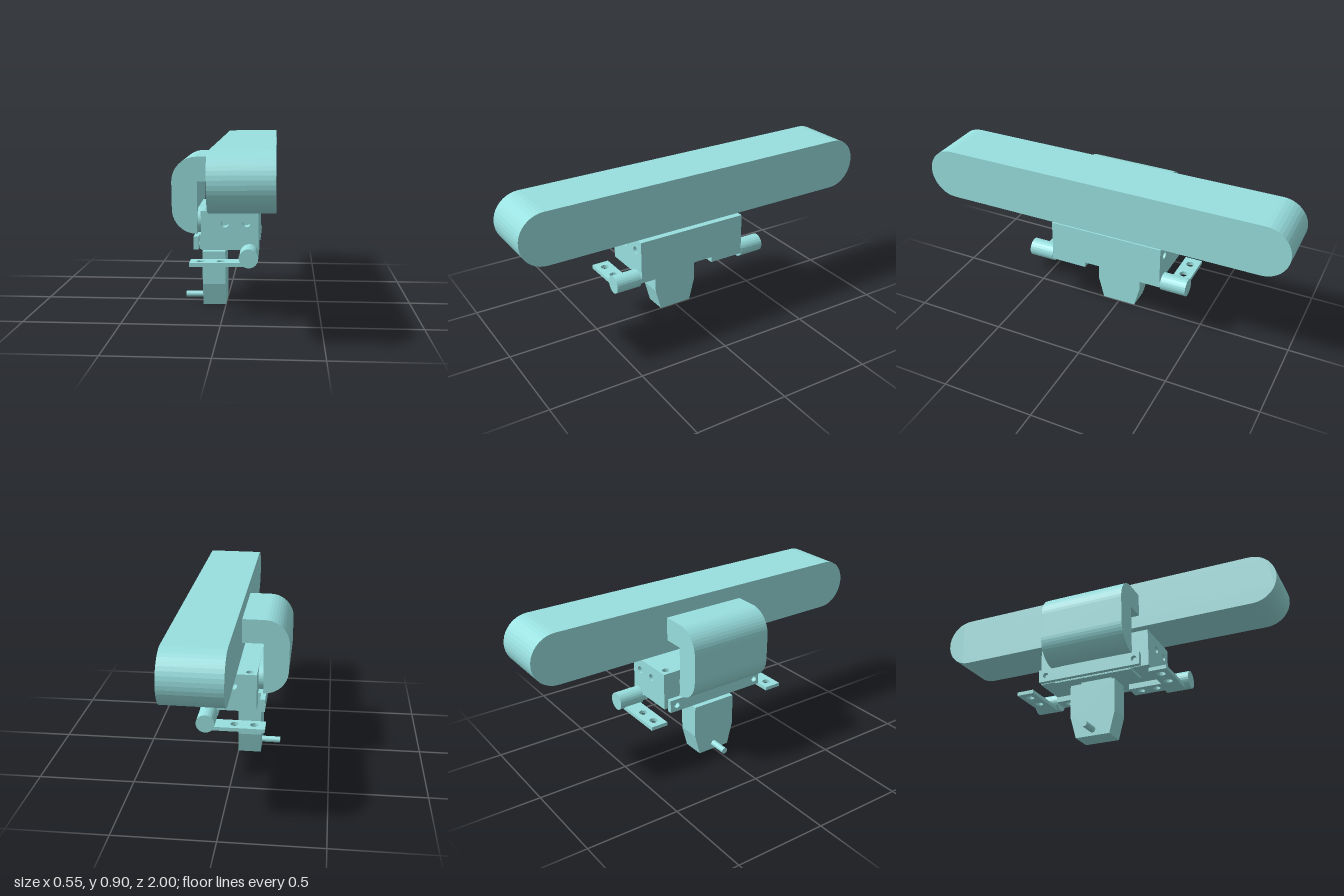
import * as THREE from 'three';

const material = new THREE.MeshStandardMaterial({ color: 0x99e0e0, flatShading: true });

function add(parent, name, geometry, x = 0, y = 0, z = 0) {
  const mesh = new THREE.Mesh(geometry, material);
  mesh.name = name;
  mesh.position.set(x, y, z);
  parent.add(mesh);
  return mesh;
}

// Box given by its lower and upper corners
function block(parent, name, [x0, y0, z0], [x1, y1, z1]) {
  return add(parent, name, new THREE.BoxGeometry(x1 - x0, y1 - y0, z1 - z0),
    (x0 + x1) / 2, (y0 + y1) / 2, (z0 + z1) / 2);
}

function rod(parent, name, axis, radius, length, x, y, z) {
  const geometry = new THREE.CylinderGeometry(radius, radius, length, 24);
  if (axis === 'x') geometry.rotateZ(Math.PI / 2);
  if (axis === 'z') geometry.rotateX(Math.PI / 2);
  return add(parent, name, geometry, x, y, z);
}

function rectangle(u0, v0, u1, v1, holes = [], radius = 0.02) {
  const shape = new THREE.Shape();
  shape.moveTo(u0, v0).lineTo(u1, v0).lineTo(u1, v1).lineTo(u0, v1).closePath();
  for (const [u, v] of holes) {
    shape.holes.push(new THREE.Path().absarc(u, v, radius, 0, Math.PI * 2, true));
  }
  return shape;
}

// Rounded bar outline, long along u
function stadium(halfLength, radius) {
  const c = halfLength - radius;
  const shape = new THREE.Shape();
  shape.absarc(c, 0, radius, -Math.PI / 2, Math.PI / 2);
  shape.absarc(-c, 0, radius, Math.PI / 2, Math.PI * 1.5);
  shape.closePath();
  return shape;
}

// Extrudes towards +axis; x uses (-z, y), y uses (x, -z), z uses (x, y)
function extrude(shape, depth, axis, curveSegments = 10) {
  const geometry = new THREE.ExtrudeGeometry(shape, { depth, bevelEnabled: false, curveSegments });
  if (axis === 'x') geometry.rotateY(Math.PI / 2);
  if (axis === 'y') geometry.rotateX(-Math.PI / 2);
  return geometry;
}

export function createModel() {
  const root = new THREE.Group();
  root.name = 'model';
  const model = new THREE.Group();
  model.name = 'tiltedAssembly';
  model.rotation.set(0, 0.0085, 0.012);
  model.position.x = 0.005;
  root.add(model);

  // Long rounded bar at the top
  add(model, 'longBar', extrude(stadium(1, 0.137), 0.298, 'x'), -0.028, 0.757, 0);

  // Curved bracket carrying the bar
  const arm = new THREE.Shape();
  arm.moveTo(-0.02, 0.817).lineTo(-0.145, 0.817);
  arm.absarc(-0.143, 0.687, 0.13, Math.PI / 2, Math.PI);
  arm.absarc(-0.143, 0.545, 0.13, Math.PI, Math.PI * 1.5);
  arm.lineTo(-0.14, 0.69).lineTo(-0.02, 0.69).closePath();
  add(model, 'curvedArm', extrude(arm, 0.47, 'z', 6), 0, 0, -0.235);
  add(model, 'armPad', extrude(stadium(0.22, 0.067), 0.04, 'x'), -0.15, 0.478, 0);

  // Body block: solid core, drilled ends and drilled lid
  const body = new THREE.Group();
  body.name = 'bodyBlock';
  model.add(body);
  block(body, 'bodyCore', [-0.115, 0.345, -0.25], [0.178, 0.518, 0.25]);
  const endHoles = [[0.007, 0.482], [0.117, 0.483]];
  const end = extrude(rectangle(-0.115, 0.345, 0.178, 0.518, endHoles), 0.066, 'z');
  add(body, 'bodyEndFront', end, 0, 0, 0.25);
  add(body, 'bodyEndBack', end, 0, 0, -0.316);
  const lidHoles = [[-0.076, 0.278], [-0.076, -0.278]];
  add(body, 'bodyLid', extrude(rectangle(-0.115, -0.316, 0.178, 0.316, lidHoles), 0.03, 'y'), 0, 0.518, 0);

  // Drilled strip and backing plate on the body's right side
  const stripHoles = [[0.265, 0.375], [-0.25, 0.375]];
  add(model, 'sideStrip', extrude(rectangle(-0.28, 0.34, 0.305, 0.41, stripHoles, 0.016), 0.026, 'x'), -0.158);
  block(model, 'sideBacking', [-0.132, 0.335, -0.22], [-0.113, 0.41, 0.22]);

  // Hinges at the front and back ends
  for (const side of [1, -1]) {
    const hinge = new THREE.Group();
    hinge.name = side > 0 ? 'frontHinge' : 'backHinge';
    model.add(hinge);
    rod(hinge, 'hingeBarrel', 'z', 0.048, 0.14, 0.132, 0.329, side * 0.39);
    const outer = rectangle(-0.168, -0.048, 0.132, 0.048, [[-0.112, 0], [-0.01, 0]], 0.022);
    add(hinge, 'outerLeaf', extrude(outer, 0.02, 'y'), 0, 0.281, side * 0.382);
    const inner = rectangle(0.083, -0.1, 0.178, 0.1, [[0.13, -0.045], [0.13, 0.045]], 0.02);
    add(hinge, 'innerLeaf', extrude(inner, 0.03, 'y'), 0, 0.315, side * 0.22);
  }

  // Neck between body and stem
  block(model, 'neckPlate', [-0.13, 0.332, -0.22], [0.016, 0.346, 0.22]);
  block(model, 'neck', [-0.075, 0.29, -0.088], [-0.02, 0.335, 0.088]);

  // Tapered stem with a small pin
  const stem = new THREE.Shape();
  stem.moveTo(-0.095, 0).lineTo(0.095, 0).lineTo(0.127, 0.12).lineTo(0.127, 0.298);
  stem.lineTo(-0.127, 0.298).lineTo(-0.127, 0.12).closePath();
  add(model, 'stem', extrude(stem, 0.123, 'x'), -0.128, 0.001, 0);
  rod(model, 'stemPin', 'x', 0.017, 0.11, -0.175, 0.035, 0);

  return root;
}
